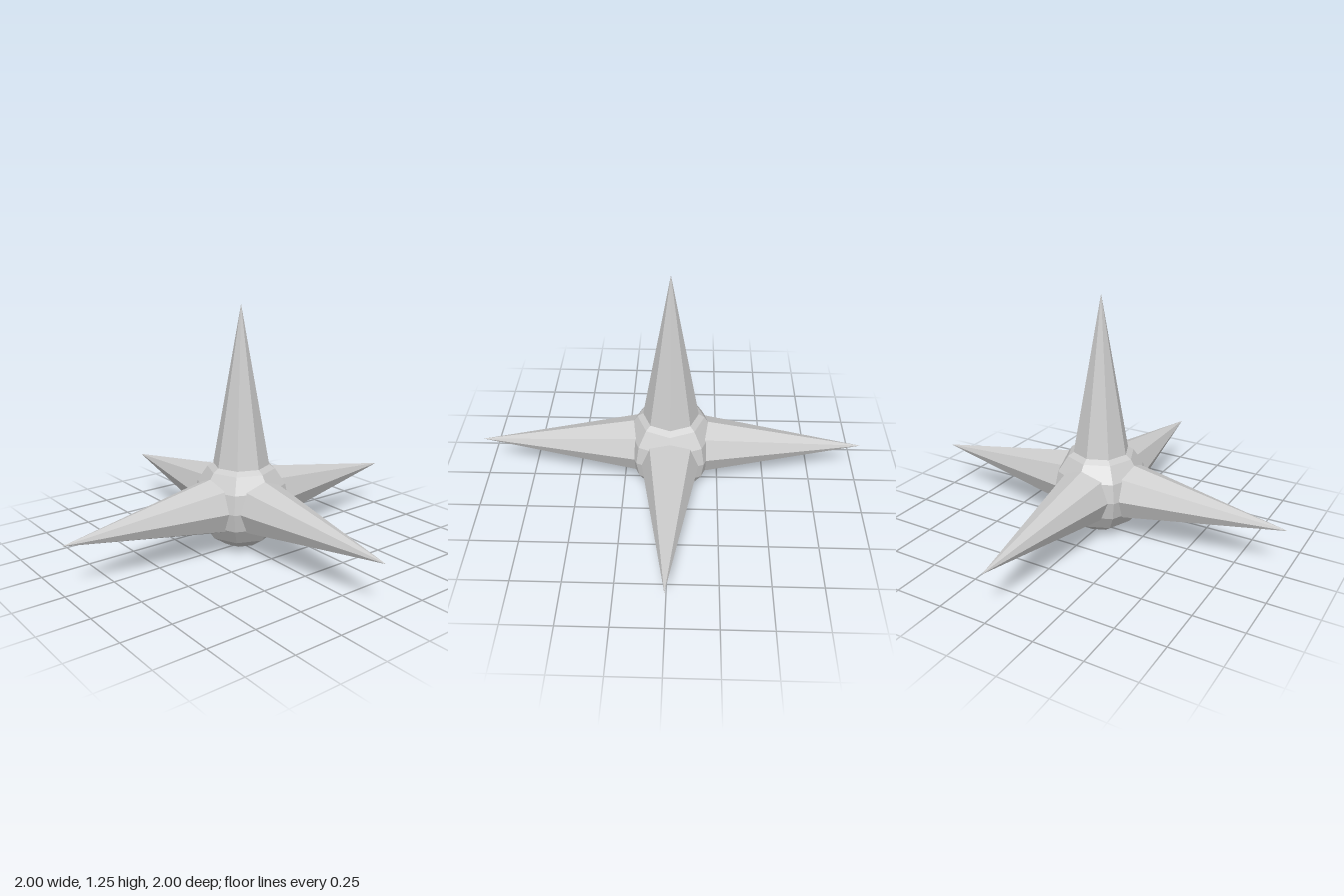
import * as THREE from 'three';

const CENTRE_Y = 0.245; // height of the ball's centre
const BALL_R = 0.245;
const TIP = 1;          // distance from centre to each spike tip
const ROOT = 0.12;      // spikes start inside the ball
const TAPER = 0.178;    // spike radius per unit of distance from the tip

export function createModel() {
  const group = new THREE.Group();
  group.name = 'caltrop';
  const material = new THREE.MeshStandardMaterial({ color: 0xcccccc, flatShading: true });

  // faceted central ball
  const ball = new THREE.Mesh(new THREE.SphereGeometry(BALL_R, 8, 8), material);
  ball.name = 'ball';
  ball.position.y = CENTRE_Y;
  group.add(ball);

  // eight-sided spike pointing along +y from the centre
  const length = TIP - ROOT;
  const spikeGeometry = new THREE.ConeGeometry(length * TAPER, length, 8, 1, true);
  spikeGeometry.translate(0, ROOT + length / 2, 0);

  const addSpike = (name, rx, rz) => {
    const spike = new THREE.Mesh(spikeGeometry, material);
    spike.name = name;
    spike.position.y = CENTRE_Y;
    spike.rotation.set(rx, 0, rz);
    group.add(spike);
  };

  // one spike up, four around the sides
  const q = Math.PI / 2;
  addSpike('topSpike', 0, 0);
  addSpike('frontSpike', q, 0);
  addSpike('backSpike', -q, 0);
  addSpike('leftSpike', 0, -q);
  addSpike('rightSpike', 0, q);

  return group;
}
